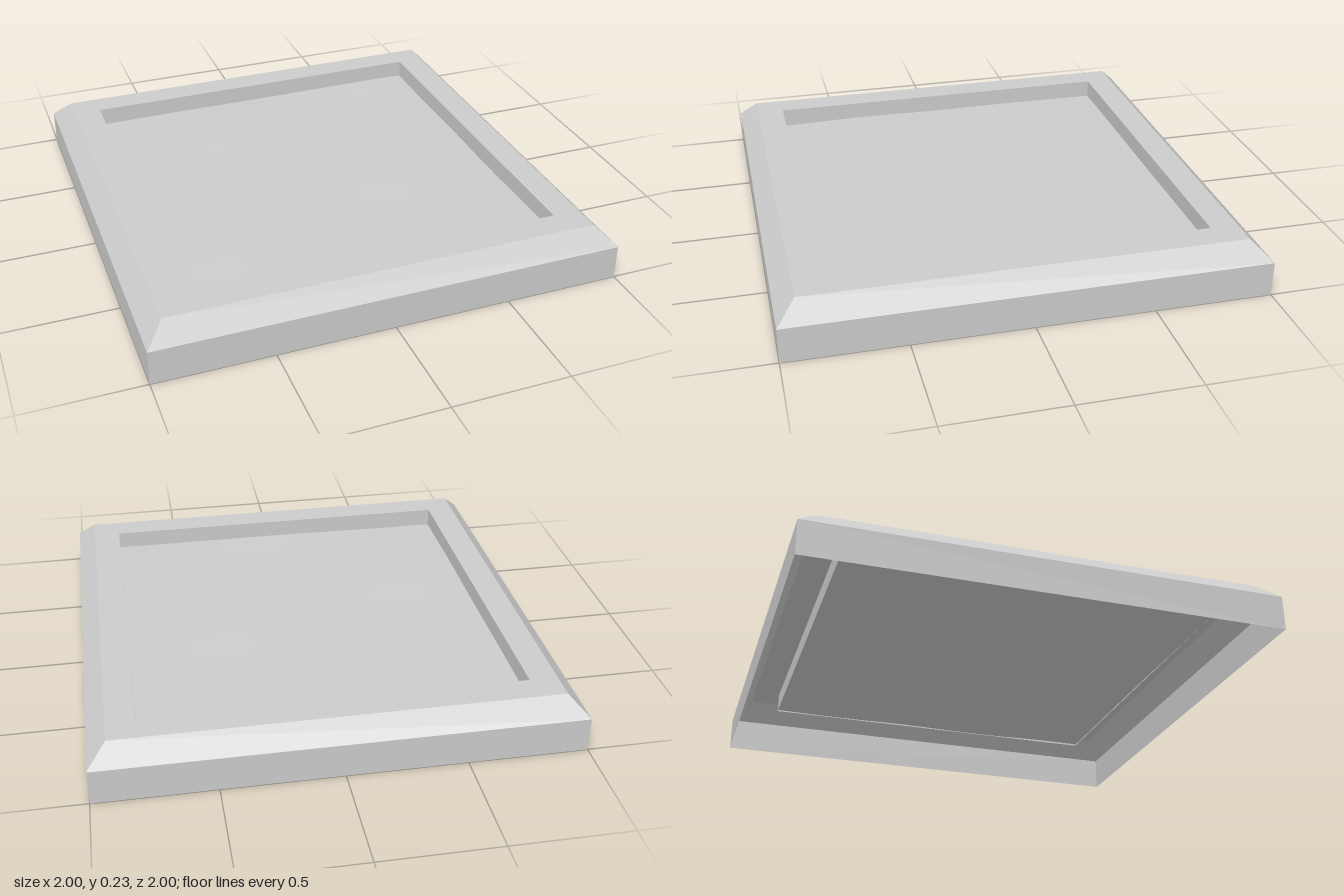
import * as THREE from 'three';

const OUTER = 1, BEVEL = 0.92, INNER = 0.8;
const WALL_TOP = 0.15, RIM_TOP = 0.23, PANEL_Y = 0.15;

// Square frame shell, open underneath: a four-sided lathe of the rim's section
function makeFrame() {
  const section = [
    [OUTER, 0], [OUTER, WALL_TOP], [BEVEL, RIM_TOP], [INNER, RIM_TOP], [INNER, PANEL_Y - 0.005],
  ].map(([half, y]) => new THREE.Vector2(half * Math.SQRT2, y));
  const geometry = new THREE.LatheGeometry(section, 4, Math.PI / 4);
  const material = new THREE.MeshStandardMaterial({
    color: 0xcccccc, flatShading: true, side: THREE.DoubleSide,
  });
  const frame = new THREE.Mesh(geometry, material);
  frame.name = 'bevelledFrame';
  return frame;
}

// Sunken sheet with faint, smooth ripples
function makeSurface() {
  const geometry = new THREE.PlaneGeometry(2 * INNER, 2 * INNER, 40, 40);
  geometry.rotateX(-Math.PI / 2);
  const position = geometry.attributes.position;
  for (let i = 0; i < position.count; i++) {
    const x = position.getX(i), z = position.getZ(i);
    const ripple = Math.sin(4.1 * x + 1.3 * z) * Math.cos(6.5 * z - 1.2 * x)
      + 0.5 * Math.sin(7 * z + 2.5 * x + 1);
    position.setY(i, PANEL_Y + 0.003 * ripple);
  }
  geometry.computeVertexNormals();
  const material = new THREE.MeshStandardMaterial({ color: 0xcccccc, side: THREE.DoubleSide });
  const surface = new THREE.Mesh(geometry, material);
  surface.name = 'rippledSurface';
  return surface;
}

export function createModel() {
  const model = new THREE.Group();
  model.name = 'shallowSquareBasin';
  model.add(makeFrame(), makeSurface());
  return model;
}
